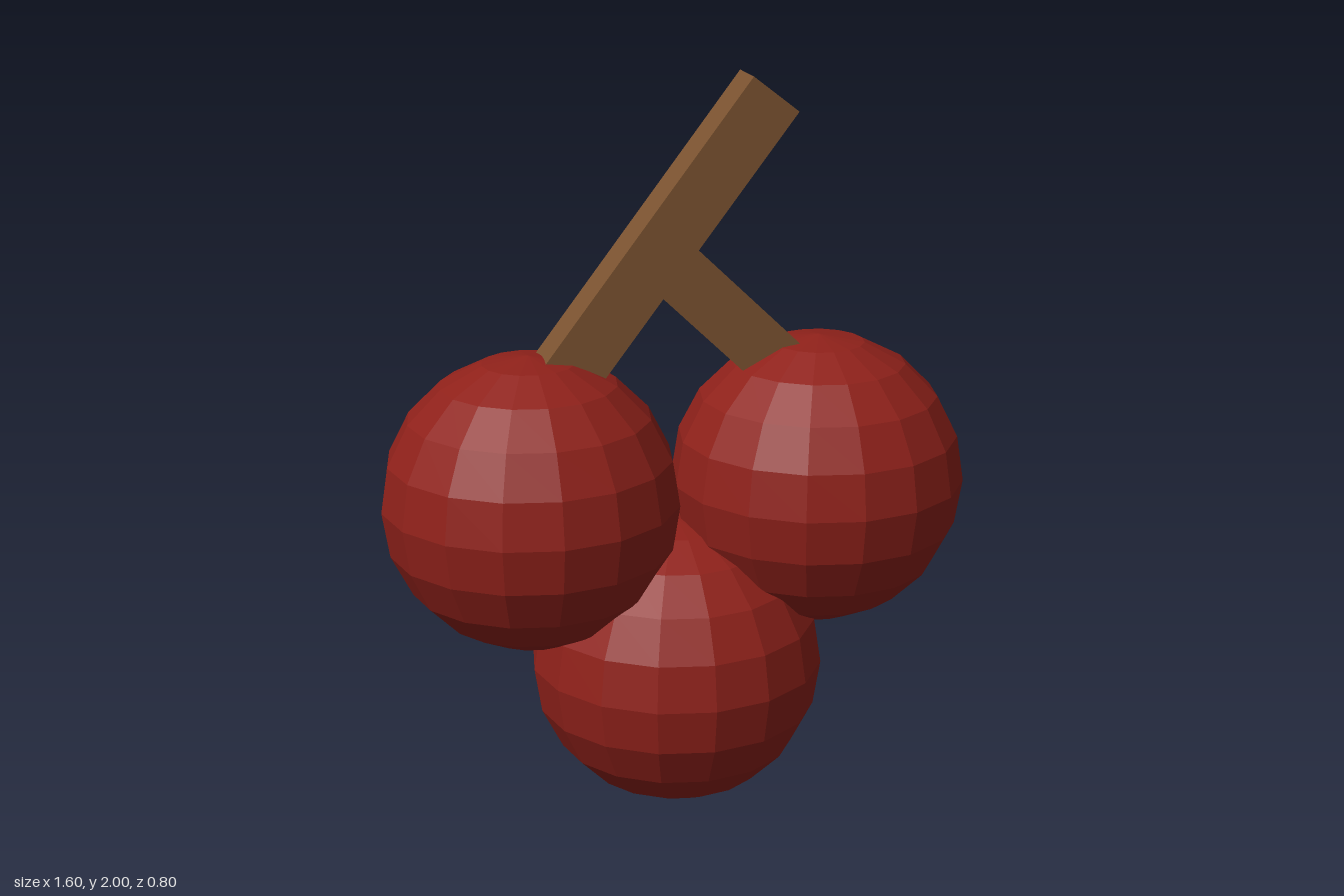
import * as THREE from 'three';

const berryMaterial = new THREE.MeshStandardMaterial({ color: 0x8f211a, flatShading: true });
const woodMaterial = new THREE.MeshStandardMaterial({ color: 0x7d5431, flatShading: true });

// Square-cut stick running between two points in the front plane
function stick(name, from, to, width, depth) {
  const a = new THREE.Vector2(...from);
  const b = new THREE.Vector2(...to);
  const mesh = new THREE.Mesh(new THREE.BoxGeometry(a.distanceTo(b), width, depth), woodMaterial);
  mesh.position.set((a.x + b.x) / 2, (a.y + b.y) / 2, 0);
  mesh.rotation.z = Math.atan2(b.y - a.y, b.x - a.x);
  mesh.name = name;
  return mesh;
}

export function createModel() {
  const model = new THREE.Group();
  model.name = 'berryCluster';

  // Three faceted berries: one below, two above
  const berryGeometry = new THREE.SphereGeometry(0.4, 16, 10);
  const berries = [
    ['lowerBerry', 0, 0.4],
    ['leftBerry', 0.4, 0.89],
    ['rightBerry', -0.4, 0.89],
  ];
  for (const [name, x, y] of berries) {
    const berry = new THREE.Mesh(berryGeometry, berryMaterial);
    berry.position.set(x, y, 0);
    berry.name = name;
    model.add(berry);
  }

  // Main stem and the thinner side branch, both sunk into the berries
  model.add(stick('stem', [-0.355, 1.165], [0.2525, 1.9525], 0.157, 0.12));
  model.add(stick('branch', [-0.03, 1.52], [0.35, 1.153], 0.156, 0.08));

  return model;
}
